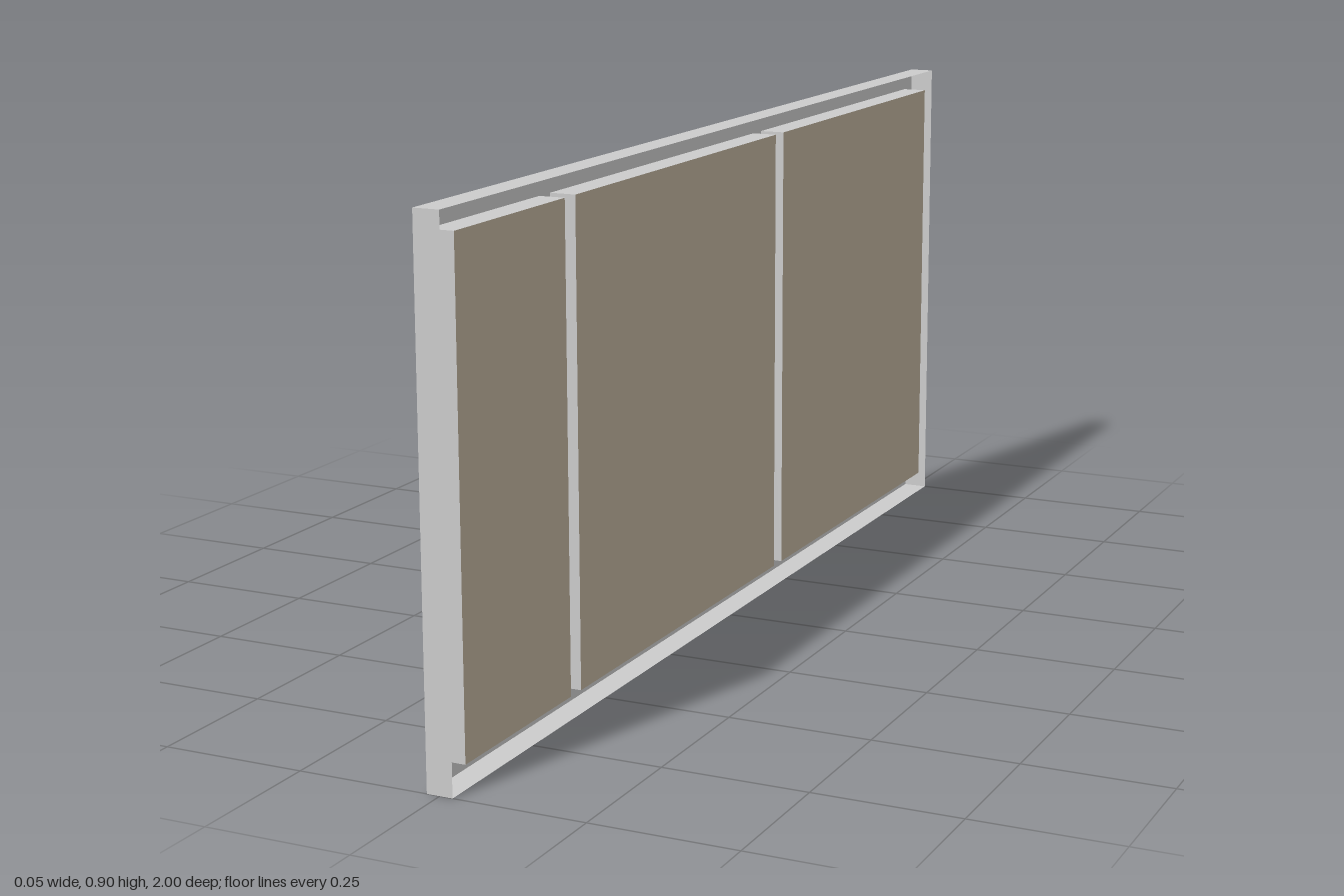
import * as THREE from 'three';

const DEPTH = 0.045, HEIGHT = 0.897, HALF = DEPTH / 2;
const OUTER = { z0: -1, z1: 1, y0: 0, y1: HEIGHT };
// Three openings along z, separated by two slim mullions
const OPENINGS = [[-0.96, -0.23], [-0.195, 0.585], [0.62, 0.96]]
  .map(([z0, z1]) => ({ z0, z1, y0: 0.04, y1: 0.86 }));

const frameMat = new THREE.MeshStandardMaterial({ color: 0xcccccc, side: THREE.DoubleSide });
const panelMat = new THREE.MeshStandardMaterial({ color: 0xbfb39e, side: THREE.DoubleSide });

function outline(path, { z0, z1, y0, y1 }) {
  path.moveTo(z0, y0).lineTo(z1, y0).lineTo(z1, y1).lineTo(z0, y1).closePath();
  return path;
}

// Flat sheet in the z-y plane at a given x
function sheet(name, rect, holes, x, material) {
  const shape = outline(new THREE.Shape(), rect);
  shape.holes = holes.map((h) => outline(new THREE.Path(), h));
  const geo = new THREE.ShapeGeometry(shape).rotateY(-Math.PI / 2).translate(x, 0, 0);
  const mesh = new THREE.Mesh(geo, material);
  mesh.name = name;
  return mesh;
}

// Four walls across the depth, facing out of the rectangle or (inward) into it
function walls(name, { z0, z1, y0, y1 }, inward) {
  const group = new THREE.Group();
  group.name = name;
  const w = z1 - z0, h = y1 - y0, zc = (z0 + z1) / 2, yc = (y0 + y1) / 2;
  for (const s of [-1, 1]) {
    const out = inward ? -s : s;
    const end = new THREE.PlaneGeometry(DEPTH, h);
    if (out < 0) end.rotateY(Math.PI);
    end.translate(0, yc, s > 0 ? z1 : z0);
    const level = new THREE.PlaneGeometry(DEPTH, w).rotateX(-out * Math.PI / 2);
    level.translate(0, s > 0 ? y1 : y0, zc);
    const endMesh = new THREE.Mesh(end, frameMat);
    endMesh.name = 'uprightWall';
    const levelMesh = new THREE.Mesh(level, frameMat);
    levelMesh.name = 'railWall';
    group.add(endMesh, levelMesh);
  }
  return group;
}

export function createModel() {
  const model = new THREE.Group();
  model.name = 'framedPanel';

  // Hollow frame: one face with openings, open on the panel side
  model.add(sheet('frameFace', OUTER, OPENINGS, -HALF, frameMat));
  model.add(walls('outerWalls', OUTER, false));

  // Lining and thin infill panel of each opening
  for (const o of OPENINGS) {
    model.add(walls('openingWalls', o, true));
    model.add(sheet('infillPanel', o, [], HALF, panelMat));
  }
  return model;
}
